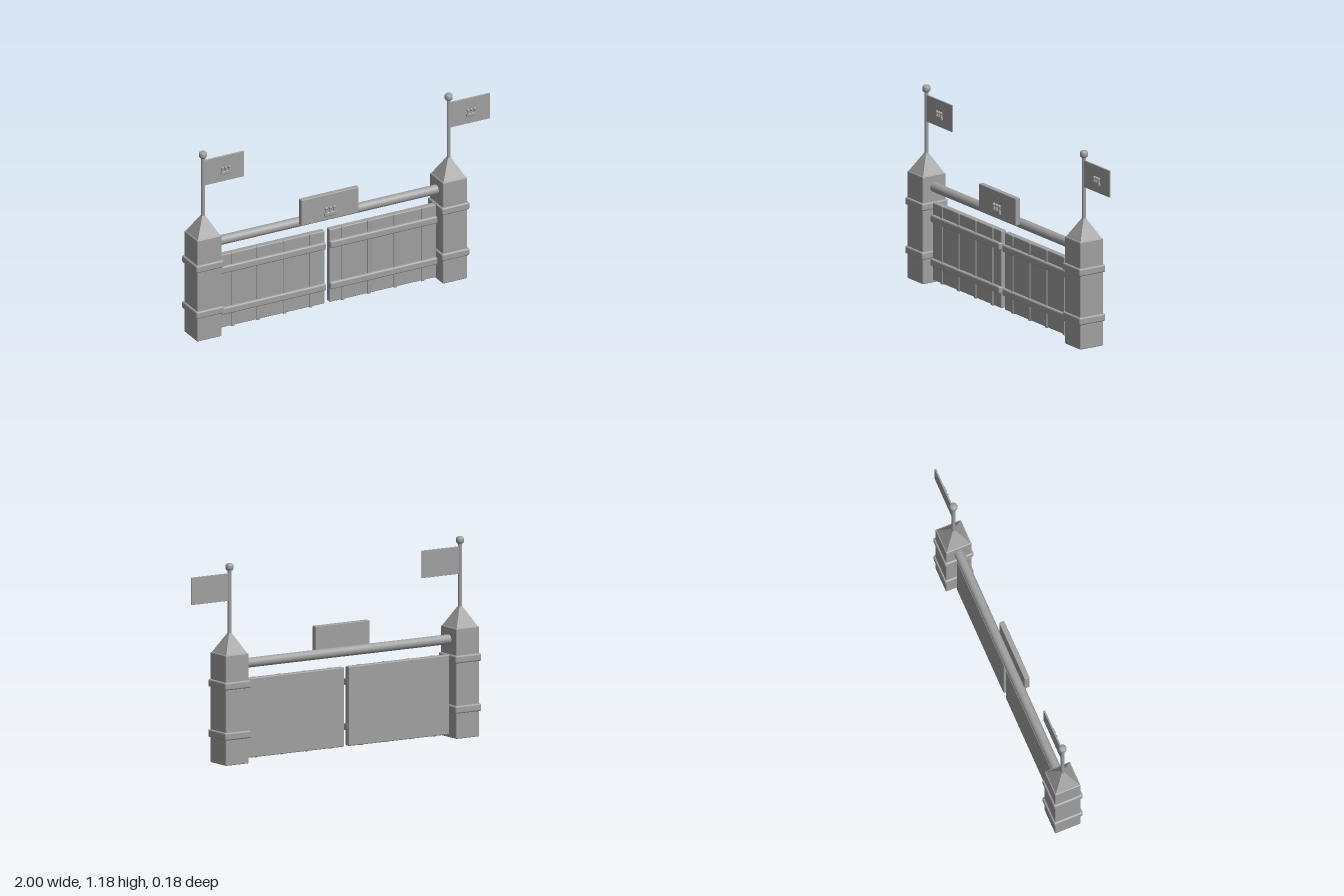
import * as THREE from 'three';
import { RoundedBoxGeometry } from 'three/addons/geometries/RoundedBoxGeometry.js';

const grey = new THREE.MeshStandardMaterial({ color: 0xa0a0a0 });
grey.name = 'stone grey';

function add(parent, name, geometry, x = 0, y = 0, z = 0) {
  const mesh = new THREE.Mesh(geometry, grey);
  mesh.name = name;
  mesh.position.set(x, y, z);
  parent.add(mesh);
  return mesh;
}

// Soft-edged block given by its x, y and z ranges
function block(parent, name, [x0, x1], [y0, y1], [z0, z1], r = 0.004) {
  const geo = new RoundedBoxGeometry(x1 - x0, y1 - y0, z1 - z0, 2, r);
  return add(parent, name, geo, (x0 + x1) / 2, (y0 + y1) / 2, (z0 + z1) / 2);
}

// Small crown ornament: a bar with three round-topped points
function makeCrown(size) {
  const crown = new THREE.Group();
  crown.name = 'crownOrnament';
  block(crown, 'crownBar', [-0.5, 0.5], [-0.4, -0.05], [-0.1, 0.1], 0.09);
  for (const x of [-0.34, 0, 0.34]) {
    add(crown, 'crownPoint', new THREE.CylinderGeometry(0.09, 0.11, 0.4, 10), x, 0.06);
    add(crown, 'crownBall', new THREE.SphereGeometry(0.14, 12, 8), x, 0.26);
  }
  crown.scale.setScalar(size);
  return crown;
}

// Square tower with bands, pointed roof, pole and flag
function makeTower(name, x) {
  const tower = new THREE.Group();
  tower.name = name;
  tower.position.x = x;
  block(tower, 'post', [-0.081, 0.081], [0, 0.655], [-0.081, 0.081], 0.006);
  for (const y of [0.174, 0.472]) {
    block(tower, 'postBand', [-0.092, 0.092], [y - 0.023, y + 0.023], [-0.092, 0.092], 0.01);
  }
  const roof = new THREE.ConeGeometry(0.075 * Math.SQRT2, 0.134, 4).rotateY(Math.PI / 4).toNonIndexed();
  roof.computeVertexNormals();
  add(tower, 'roof', roof, 0, 0.721);
  add(tower, 'pole', new THREE.CylinderGeometry(0.011, 0.011, 0.45, 16), 0, 0.925);
  const knob = [[0, 1.143], [0.016, 1.143], [0.022, 1.149], [0.024, 1.157],
    [0.024, 1.169], [0.022, 1.177], [0.016, 1.183], [0, 1.183]];
  add(tower, 'poleKnob', new THREE.LatheGeometry(knob.map(([r, y]) => new THREE.Vector2(r, y)), 16));
  block(tower, 'flag', [0.005, 0.272], [0.963, 1.126], [-0.005, 0.005], 0.002);
  const crown = makeCrown(0.066);
  crown.position.set(0.146, 1.035, 0.01);
  tower.add(crown);
  return tower;
}

// Gate leaf with upright battens and two cross bars
function makeGate(name, x0, x1, battens) {
  const gate = new THREE.Group();
  gate.name = name;
  block(gate, 'gatePanel', [x0, x1], [0.02, 0.492], [-0.02, 0.017], 0.006);
  for (const x of battens) {
    block(gate, 'batten', [x - 0.011, x + 0.011], [0.017, 0.493], [-0.015, 0.023]);
  }
  for (const y of [0.131, 0.398]) {
    block(gate, 'crossBar', [x0 - 0.002, x1 + 0.002], [y - 0.023, y + 0.023], [-0.01, 0.034], 0.01);
  }
  return gate;
}

export function createModel() {
  const model = new THREE.Group();
  model.name = 'gateway';
  model.add(makeTower('rightTower', -0.908), makeTower('leftTower', 0.727));
  model.add(makeGate('rightGate', -0.82, -0.106, [-0.72, -0.55, -0.375, -0.2]));
  model.add(makeGate('leftGate', -0.074, 0.635, [0.012, 0.187, 0.362, 0.545]));

  // Round beam between the towers
  const beam = new THREE.CylinderGeometry(0.029, 0.029, 1.52, 20).rotateZ(Math.PI / 2);
  add(model, 'beam', beam, -0.09, 0.582);

  // Sign board on the beam
  block(model, 'signBoard', [-0.283, 0.1], [0.58, 0.745], [0.024, 0.056]);
  const crown = makeCrown(0.08);
  crown.position.set(-0.092, 0.637, 0.058);
  model.add(crown);
  return model;
}
